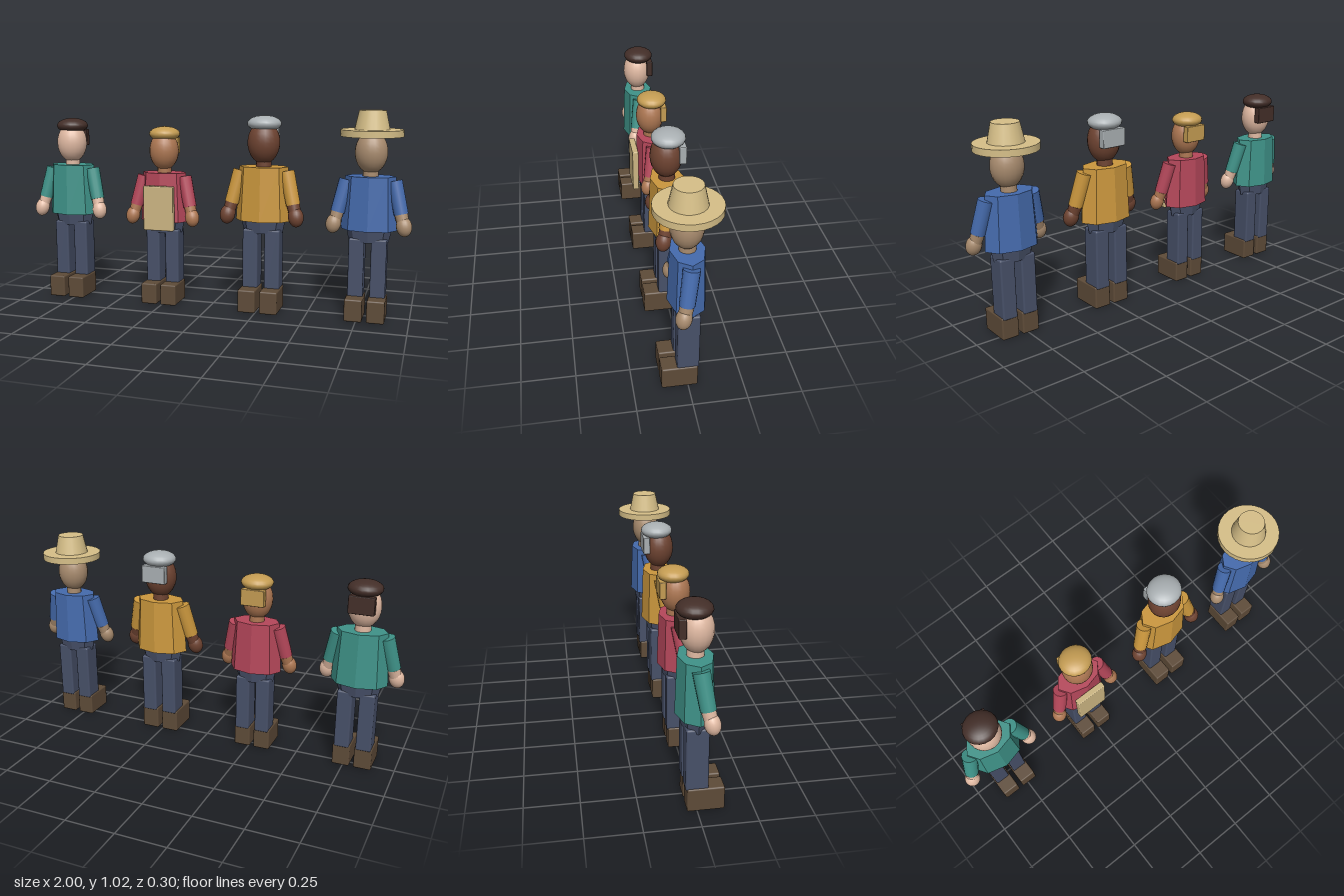
import * as THREE from 'three';
import { RoundedBoxGeometry } from 'three/addons/geometries/RoundedBoxGeometry.js';

const mat = (color, flat = false) => new THREE.MeshStandardMaterial({ color, flatShading: flat });

function add(group, name, geometry, material, x = 0, y = 0, z = 0) {
  const mesh = new THREE.Mesh(geometry, material);
  mesh.name = name;
  mesh.position.set(x, y, z);
  group.add(mesh);
  return mesh;
}

const ellipsoid = (rx, ry, rz) => new THREE.SphereGeometry(1, 20, 14).scale(rx, ry, rz);

// Eight-sided tapered block, oval in plan
const taper = (rxTop, rxBottom, depthRatio, height) =>
  new THREE.CylinderGeometry(rxTop, rxBottom, height, 8).scale(1, 1, depthRatio);

// Tapered tube between two points
function limb(group, name, a, b, rA, rB, material) {
  const dir = b.clone().sub(a);
  const mesh = add(group, name, new THREE.CylinderGeometry(rB, rA, dir.length(), 14), material);
  mesh.position.copy(a).add(b).multiplyScalar(0.5);
  mesh.quaternion.setFromUnitVectors(new THREE.Vector3(0, 1, 0), dir.normalize());
  return mesh;
}

function createFigure({ name, x, size, skin, shirt, hair, hat, apron }) {
  const g = new THREE.Group();
  g.name = name;
  const skinMat = mat(skin);
  const shirtMat = mat(shirt);
  const trousers = mat(0x475068);
  const shoeMat = mat(0x5e4b38);

  // Body
  add(g, 'torso', taper(0.126, 0.142, 0.635, 0.273), mat(shirt, true), 0, 0.5935, 0);
  add(g, 'hips', taper(0.115, 0.1, 0.6, 0.07), mat(0x475068, true), 0, 0.43, 0);
  add(g, 'neck', new THREE.CylinderGeometry(0.038, 0.04, 0.06, 14), skinMat, 0, 0.75, 0);
  add(g, 'head', ellipsoid(0.082, 0.107, 0.077), skinMat, 0, 0.85, 0.004);

  for (const s of [1, -1]) {
    const side = s > 0 ? 'left' : 'right';
    // Legs and shoes
    add(g, side + 'Leg', new RoundedBoxGeometry(0.078, 0.31, 0.104, 2, 0.009), trousers, s * 0.056, 0.26, 0);
    add(g, side + 'Shoe', new RoundedBoxGeometry(0.09, 0.116, 0.172, 2, 0.008), shoeMat, s * 0.056, 0.058, 0.04);
    // Sleeve, forearm and hand
    const shoulder = new THREE.Vector3(s * 0.118, 0.708, 0.002);
    const cuff = new THREE.Vector3(s * 0.158, 0.545, 0.027);
    const wrist = new THREE.Vector3(s * 0.172, 0.49, 0.04);
    limb(g, side + 'Sleeve', shoulder, cuff, 0.039, 0.036, shirtMat);
    limb(g, side + 'Forearm', cuff, wrist, 0.033, 0.03, skinMat);
    const hand = add(g, side + 'Hand', ellipsoid(0.039, 0.05, 0.037), skinMat, s * 0.175, 0.487, 0.043);
    hand.rotation.set(-0.2, 0, s * 0.15);
  }

  // Hair cap with a block at the back of the head
  if (hair) {
    const hairMat = mat(hair);
    add(g, 'hairCap', ellipsoid(0.086, 0.041, 0.081), hairMat, 0, 0.943, -0.006);
    add(g, 'hairBack', new RoundedBoxGeometry(0.128, 0.088, 0.034, 2, 0.004), hairMat, 0, 0.875, -0.066);
  }
  // Brimmed hat
  if (hat) {
    const hatMat = mat(hat);
    add(g, 'hatBrim', new THREE.CylinderGeometry(0.156, 0.156, 0.034, 28), hatMat, 0, 0.946, 0);
    add(g, 'hatCrown', new THREE.CylinderGeometry(0.067, 0.088, 0.096, 20), hatMat, 0, 1.01, 0);
  }
  // Apron panel
  if (apron) add(g, 'apron', new RoundedBoxGeometry(0.172, 0.246, 0.034, 2, 0.006), mat(apron), 0, 0.54, 0.098);

  g.scale.setScalar(size);
  g.position.x = x;
  return g;
}

export function createModel() {
  const model = new THREE.Group();
  model.name = 'fourStandingFigures';
  const figures = [
    { name: 'tealFigure', x: -0.793, size: 0.97, skin: 0xe0b9a2, shirt: 0x3f9389, hair: 0x432e28 },
    { name: 'redFigure', x: -0.267, size: 0.935, skin: 0xad7752, shirt: 0xb5475a, hair: 0xc49c52, apron: 0xcbb582 },
    { name: 'goldFigure', x: 0.262, size: 1, skin: 0x6e4331, shirt: 0xcb973d, hair: 0xa9afb2 },
    { name: 'blueFigure', x: 0.79, size: 0.96, skin: 0xa88b6e, shirt: 0x456bad, hat: 0xd6bf88 },
  ];
  for (const f of figures) model.add(createFigure(f));
  return model;
}
